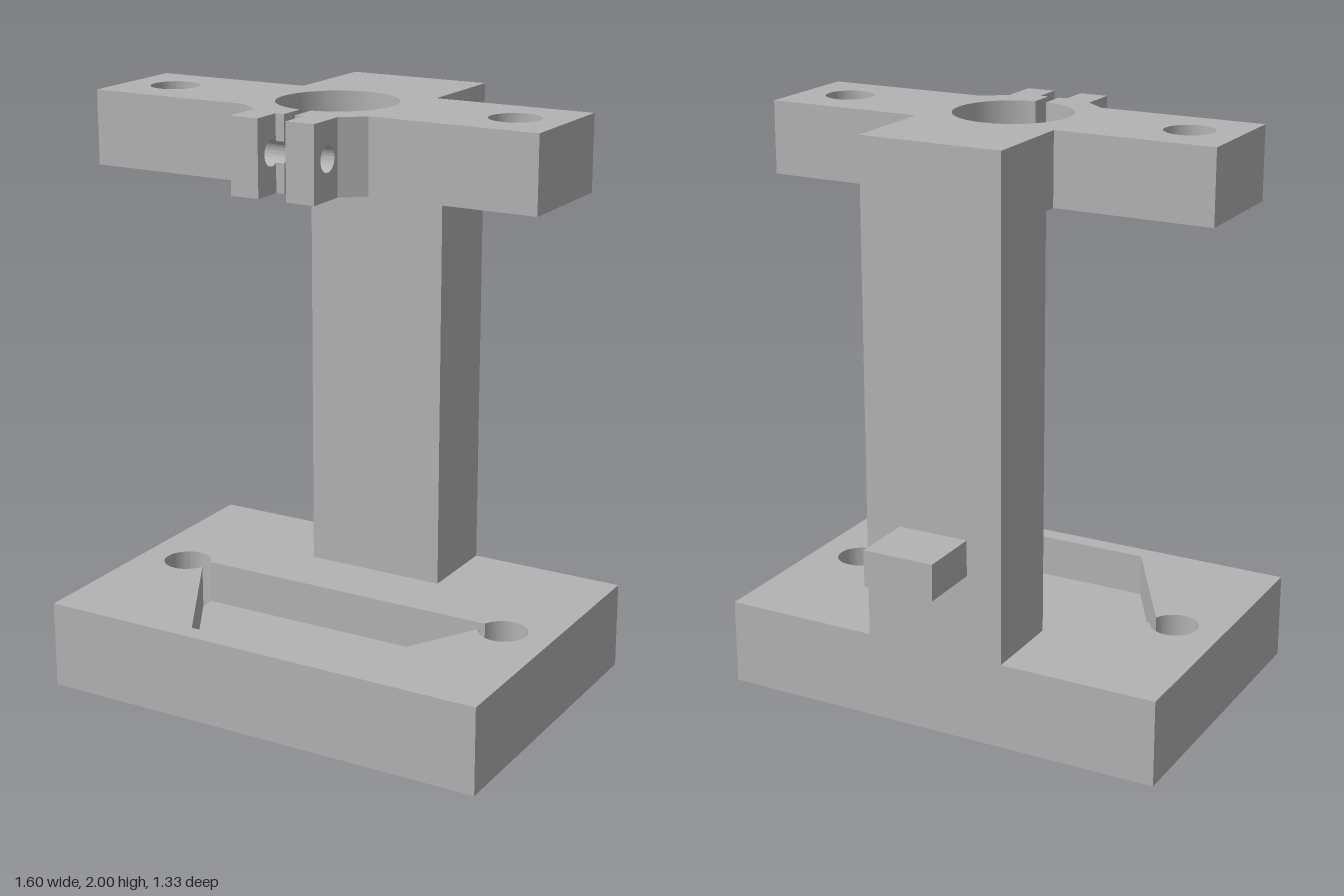
import * as THREE from 'three';
import { toCreasedNormals } from 'three/addons/utils/BufferGeometryUtils.js';

const ZC = 0.11;          // z of the bore and bolt-hole axis
const BOLT_X = 0.625, BOLT_R = 0.083;

export function createModel() {
  const model = new THREE.Group();
  const grey = new THREE.MeshStandardMaterial({ color: 0xb3b3b3 });
  grey.name = 'plain grey';

  const add = (name, geometry) => {
    const mesh = new THREE.Mesh(geometry, grey);
    mesh.name = name;
    model.add(mesh);
  };
  const extrude = (shape, depth) =>
    new THREE.ExtrudeGeometry(shape, { depth, bevelEnabled: false, curveSegments: 40 });
  // Plan outline in (x, z), filling bottom..top
  const plate = (name, shape, bottom, top) =>
    add(name, toCreasedNormals(extrude(shape, top - bottom).rotateX(Math.PI / 2).translate(0, top, 0), 0.5));
  // Side outline in (-z, y), filling x0..x1
  const sidePlate = (name, shape, x0, x1) =>
    add(name, toCreasedNormals(extrude(shape, x1 - x0).rotateY(Math.PI / 2).translate(x0, 0, 0), 0.5));
  const box = (name, x0, x1, y0, y1, z0, z1) =>
    add(name, new THREE.BoxGeometry(x1 - x0, y1 - y0, z1 - z0)
      .translate((x0 + x1) / 2, (y0 + y1) / 2, (z0 + z1) / 2));
  const outline = (points) => new THREE.Shape(points.map(([x, y]) => new THREE.Vector2(x, y)));
  const circle = (x, y, r) => new THREE.Path().absarc(x, y, r, 0, Math.PI * 2, false);
  const boltHoles = () => [-BOLT_X, BOLT_X].map((x) => circle(x, ZC, BOLT_R));
  const baseOutline = () => outline([[-0.8, -0.44], [0.8, -0.44], [0.8, 0.66], [-0.8, 0.66]]);

  // Base floor with two through holes
  const floor = baseOutline();
  floor.holes.push(...boltHoles());
  plate('baseFloor', floor, 0, 0.15);

  // Base rim: hexagonal pocket that breaks into the bolt holes
  const rim = baseOutline();
  const pocket = new THREE.Path();
  const a = 0.302;        // half angle where each hole opens into the pocket
  pocket.moveTo(0.28, ZC - 0.485);
  pocket.absarc(BOLT_X, ZC, BOLT_R, Math.PI + a, 3 * Math.PI - a, false);
  pocket.lineTo(0.28, ZC + 0.485);
  pocket.lineTo(-0.28, ZC + 0.485);
  pocket.absarc(-BOLT_X, ZC, BOLT_R, a, 2 * Math.PI - a, false);
  pocket.closePath();
  rim.holes.push(pocket);
  plate('baseRim', rim, 0.15, 0.3);

  // Column and rear tab
  box('column', -0.25, 0.25, 0.3, 1.75, -0.44, -0.14);
  box('rearTab', -0.125, 0.125, 0.59, 0.715, -0.665, -0.44);

  // Top bracket: cross arms, split bore and bolt holes
  const bracket = new THREE.Shape();
  const s = Math.asin(0.02 / 0.2);
  bracket.moveTo(0.02, 0.37);
  [[0.15, 0.37], [0.225, 0.31], [0.8, 0.31], [0.8, -0.09], [0.25, -0.09], [0.25, -0.44],
    [-0.25, -0.44], [-0.25, -0.09], [-0.8, -0.09], [-0.8, 0.31], [-0.225, 0.31],
    [-0.15, 0.37], [-0.02, 0.37]].forEach(([x, z]) => bracket.lineTo(x, z));
  bracket.absarc(0, ZC, 0.2, Math.PI / 2 + s, Math.PI * 2.5 - s, false);
  bracket.closePath();
  bracket.holes.push(...boltHoles());
  plate('topBracket', bracket, 1.75, 2);

  // Clamp ears with a cross hole, and the narrow webs beside the slit
  const holeY = 1.88, holeZ = 0.43, holeR = 0.042;
  const ear = outline([[-0.51, 1.75], [-0.37, 1.75], [-0.37, 2], [-0.51, 2]]);
  ear.holes.push(circle(-holeZ, holeY, holeR));
  const b = Math.acos((holeZ - 0.405) / holeR);
  const web = outline([[-0.37, 1.75], [-0.37, 2], [-0.405, 2]]);
  web.absarc(-holeZ, holeY, holeR, b, -b, true);
  web.lineTo(-0.405, 1.75);
  web.closePath();
  for (const [side, k] of [['left', 1], ['right', -1]]) {
    const span = (x0, x1) => (k > 0 ? [x0, x1] : [-x1, -x0]);
    sidePlate(side + 'ClampEar', ear, ...span(0.05, 0.15));
    sidePlate(side + 'ClampWeb', web, ...span(0.02, 0.05));
  }
  return model;
}
